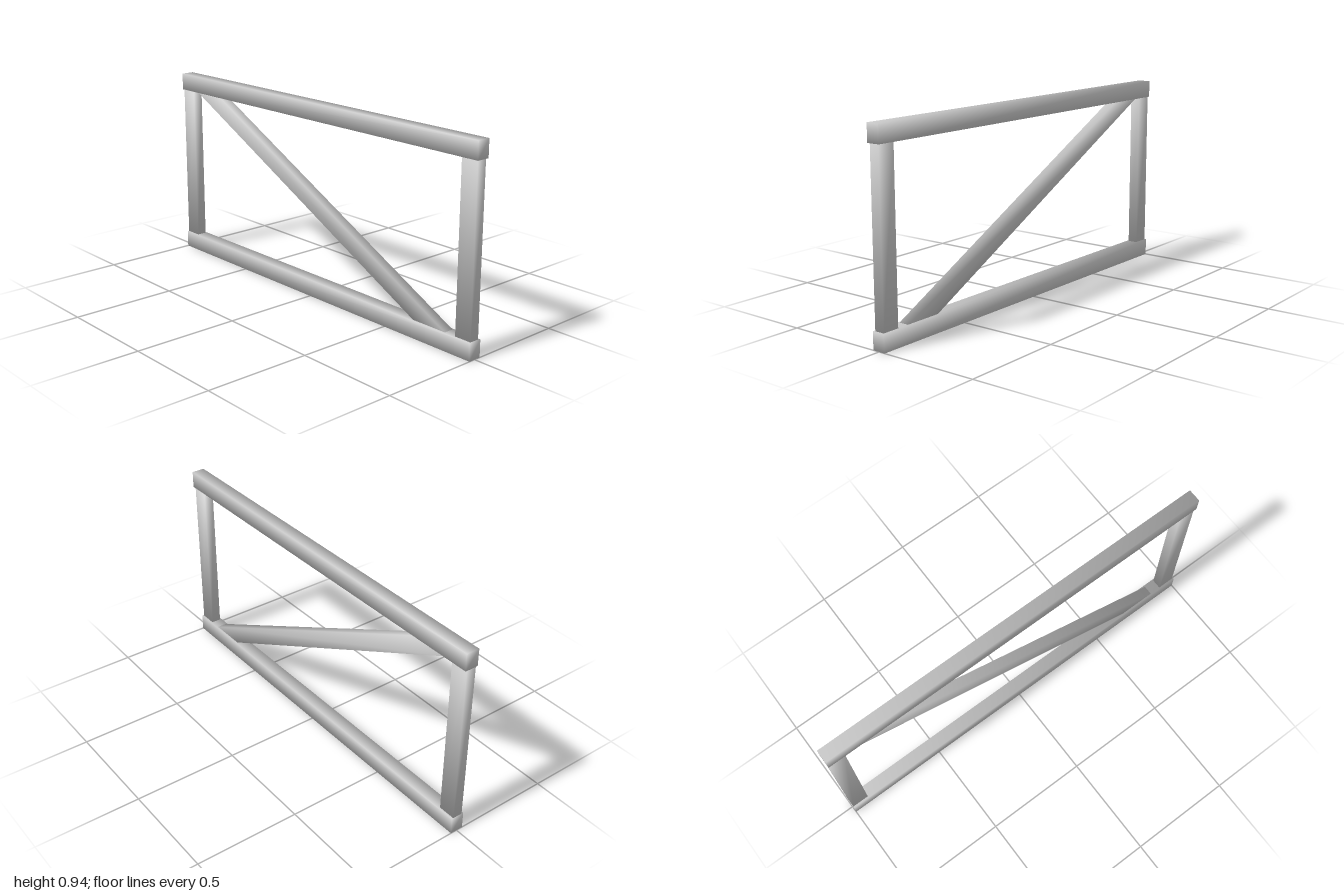
import * as THREE from 'three';

const material = new THREE.MeshStandardMaterial({ color: 0xcccccc });

// Square bar with softly shaded corners; slant shifts its top sideways against its bottom.
function bar(name, [w, h, d], [x, y], slant = 0) {
  const geometry = new THREE.BoxGeometry(w, h, d);
  const p = geometry.attributes.position;
  const n = geometry.attributes.normal;
  const side = new THREE.Vector3(h, -slant, 0).normalize();
  const normal = new THREE.Vector3();
  for (let i = 0; i < p.count; i++) {
    const sx = Math.sign(p.getX(i)), sy = Math.sign(p.getY(i)), sz = Math.sign(p.getZ(i));
    // Corner normal: mean of the three faces that meet there
    normal.copy(side).multiplyScalar(sx);
    normal.y += sy;
    normal.z += sz;
    normal.normalize();
    n.setXYZ(i, normal.x, normal.y, normal.z);
    p.setX(i, p.getX(i) + sy * slant / 2);
  }
  const mesh = new THREE.Mesh(geometry, material);
  mesh.name = name;
  mesh.position.set(x, y, 0);
  return mesh;
}

export function createModel() {
  const group = new THREE.Group();
  group.name = 'bracedFrame';

  // Long rails
  const rail = [2, 0.082, 0.064];
  group.add(bar('bottomRail', rail, [0, 0.041]));
  group.add(bar('topRail', rail, [0, 0.899]));

  // Upright posts between the rails
  const post = [0.084, 0.776, 0.048];
  group.add(bar('rightPost', post, [-0.956, 0.47]));
  group.add(bar('leftPost', post, [0.952, 0.47]));

  // Diagonal brace, cut level where it meets the rails
  group.add(bar('diagonalBrace', [0.185, 0.776, 0.048], [-0.012, 0.47], -1.545));

  return group;
}
